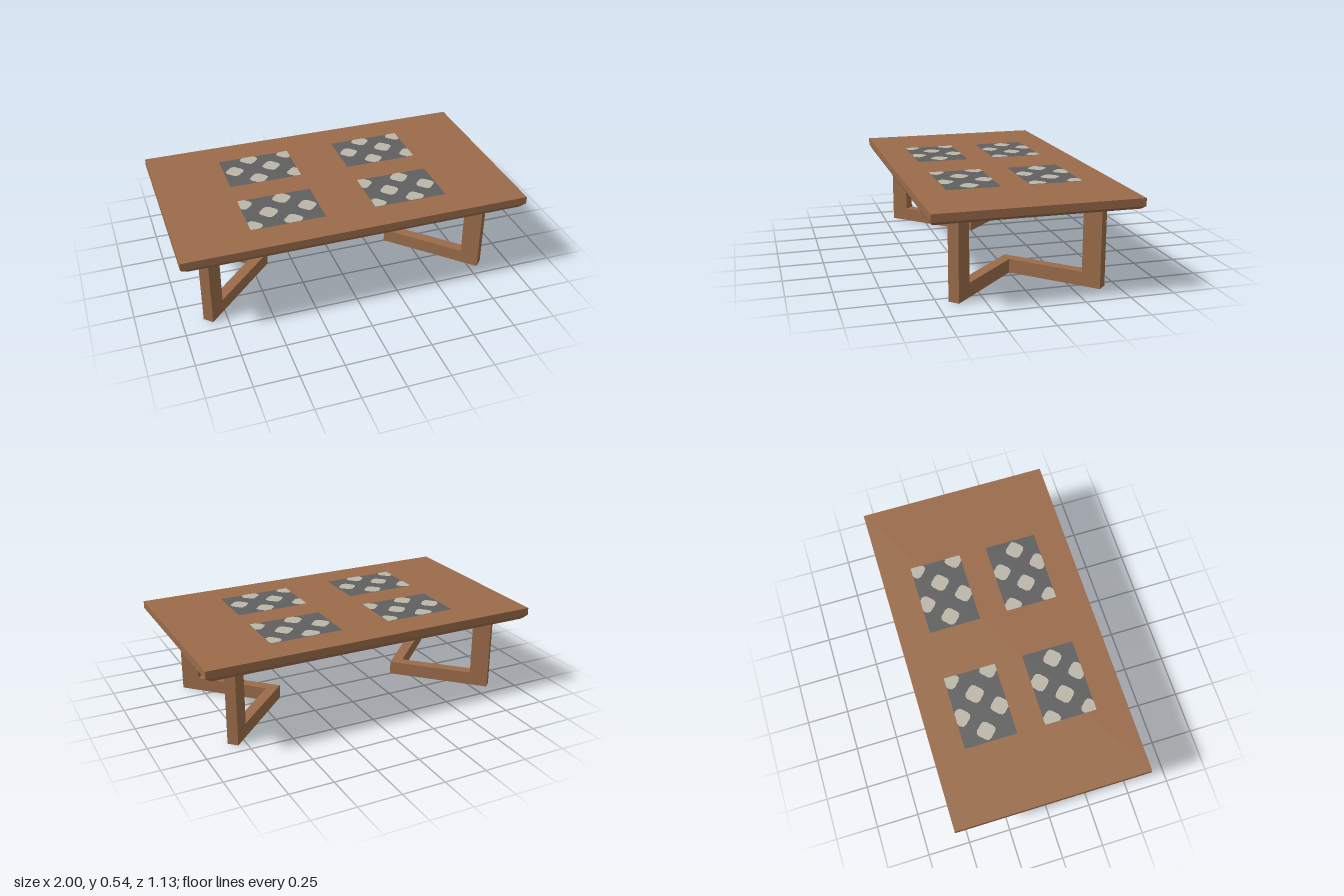
import * as THREE from 'three';

const TOP = 0.535, UNDER = 0.47;

function mat(name, color) {
  const m = new THREE.MeshStandardMaterial({ color });
  m.name = name;
  return m;
}

function add(parent, name, geometry, material) {
  const mesh = new THREE.Mesh(geometry, material);
  mesh.name = name;
  parent.add(mesh);
  return mesh;
}

const shapeOf = pts => new THREE.Shape(pts.map(([x, y]) => new THREE.Vector2(x, y)));

// Prism standing between two heights; the plan is a list of [x, z]
function prism(plan, y0, y1) {
  return new THREE.ExtrudeGeometry(shapeOf(plan), { depth: y1 - y0, bevelEnabled: false })
    .rotateX(Math.PI / 2).translate(0, y1, 0);
}

// Slab whose lower edge is chamfered inwards
function tabletopGeometry() {
  const g = new THREE.BoxGeometry(2, 2, 1.13, 1, 2, 1).toNonIndexed();
  const p = g.attributes.position;
  for (let i = 0; i < p.count; i++) {
    const y = p.getY(i);
    if (y < -0.5) {
      p.setX(i, p.getX(i) * 0.963);
      p.setZ(i, p.getZ(i) * 0.978);
    }
    p.setY(i, y > 0.5 ? TOP : y < -0.5 ? UNDER : 0.492);
  }
  g.computeVertexNormals();
  return g;
}

// V-shaped foot with a post at the end of each arm; side is the direction the V opens
function createLeg(side, wood) {
  const leg = new THREE.Group();
  const plan = pts => pts.map(([x, z]) => [x * side, z]);
  add(leg, 'foot', prism(plan([
    [0, 0], [0.435, 0.436], [0.48, 0.391], [0.09, 0], [0.48, -0.391], [0.435, -0.436],
  ]), 0, 0.08), wood);
  for (const s of [1, -1]) {
    add(leg, 'post', prism(plan([
      [0.435, 0.436 * s], [0.48, 0.391 * s], [0.404, 0.315 * s], [0.359, 0.36 * s],
    ]), 0.08, UNDER), wood);
  }
  return leg;
}

// Place mat with rounded spots cut off at its border
function createPlaceMat(cloth, spotColor) {
  const w = 0.215, h = 0.152;
  const group = new THREE.Group();
  add(group, 'matCloth', new THREE.PlaneGeometry(2 * w, 2 * h).rotateX(-Math.PI / 2), cloth);
  const spots = [[-0.037, 0.123], [0.193, 0.123], [-0.15, 0.01], [0.075, 0.01], [-0.032, -0.107], [0.195, -0.108]];
  for (const [cx, cy] of spots) {
    const pts = [];
    for (let i = 0; i < 16; i++) {
      const a = i * Math.PI / 8;
      const r = 0.05 + 0.005 * Math.cos(4 * a);
      pts.push([
        THREE.MathUtils.clamp(cx + r * Math.cos(a), -w, w),
        THREE.MathUtils.clamp(cy + r * Math.sin(a), -h, h),
      ]);
    }
    add(group, 'matSpot', new THREE.ShapeGeometry(shapeOf(pts)).rotateX(-Math.PI / 2).translate(0, 0.002, 0), spotColor);
  }
  return group;
}

export function createModel() {
  const table = new THREE.Group();
  table.name = 'table';
  const wood = mat('wood', 0x9a6b4a);
  const cloth = mat('darkGreyCloth', 0x5f5f5f);
  const spotColor = mat('lightGreySpots', 0xbab6a8);
  const sheet = mat('whiteSheet', 0xececec);

  add(table, 'tabletop', tabletopGeometry(), wood);

  // Legs
  for (const side of [1, -1]) {
    const leg = createLeg(side, wood);
    leg.name = side > 0 ? 'leftLeg' : 'rightLeg';
    leg.position.x = side * 0.382 - 0.018;
    table.add(leg);
  }

  // Place mats, the front pair turned to face the other way
  for (const x of [-0.365, 0.357]) {
    for (const z of [-0.232, 0.236]) {
      const placeMat = createPlaceMat(cloth, spotColor);
      placeMat.name = 'placeMat';
      placeMat.position.set(x, TOP + 0.002, z);
      if (z > 0) placeMat.rotation.y = Math.PI;
      table.add(placeMat);
    }
  }

  // Sheet with a ring of colours under the tabletop
  add(table, 'undersideSheet', new THREE.PlaneGeometry(0.77, 0.78).rotateX(Math.PI / 2).translate(0, UNDER - 0.002, 0), sheet);
  const ring = [
    ['red', 0xe82c2c], ['orange', 0xf09a2c], ['yellow', 0xece03c],
    ['green', 0x6cb843], ['blue', 0x284f9e], ['purple', 0xac559e],
  ];
  const half = THREE.MathUtils.degToRad(25.5);
  ring.forEach(([name, color], i) => {
    const mid = -Math.PI / 2 + i * Math.PI / 3;
    const g = new THREE.RingGeometry(0.17, 0.305, 10, 1, mid - half, 2 * half);
    add(table, name + 'RingSegment', g.rotateX(Math.PI / 2).translate(0, UNDER - 0.004, 0), mat(name, color));
  });

  return table;
}
